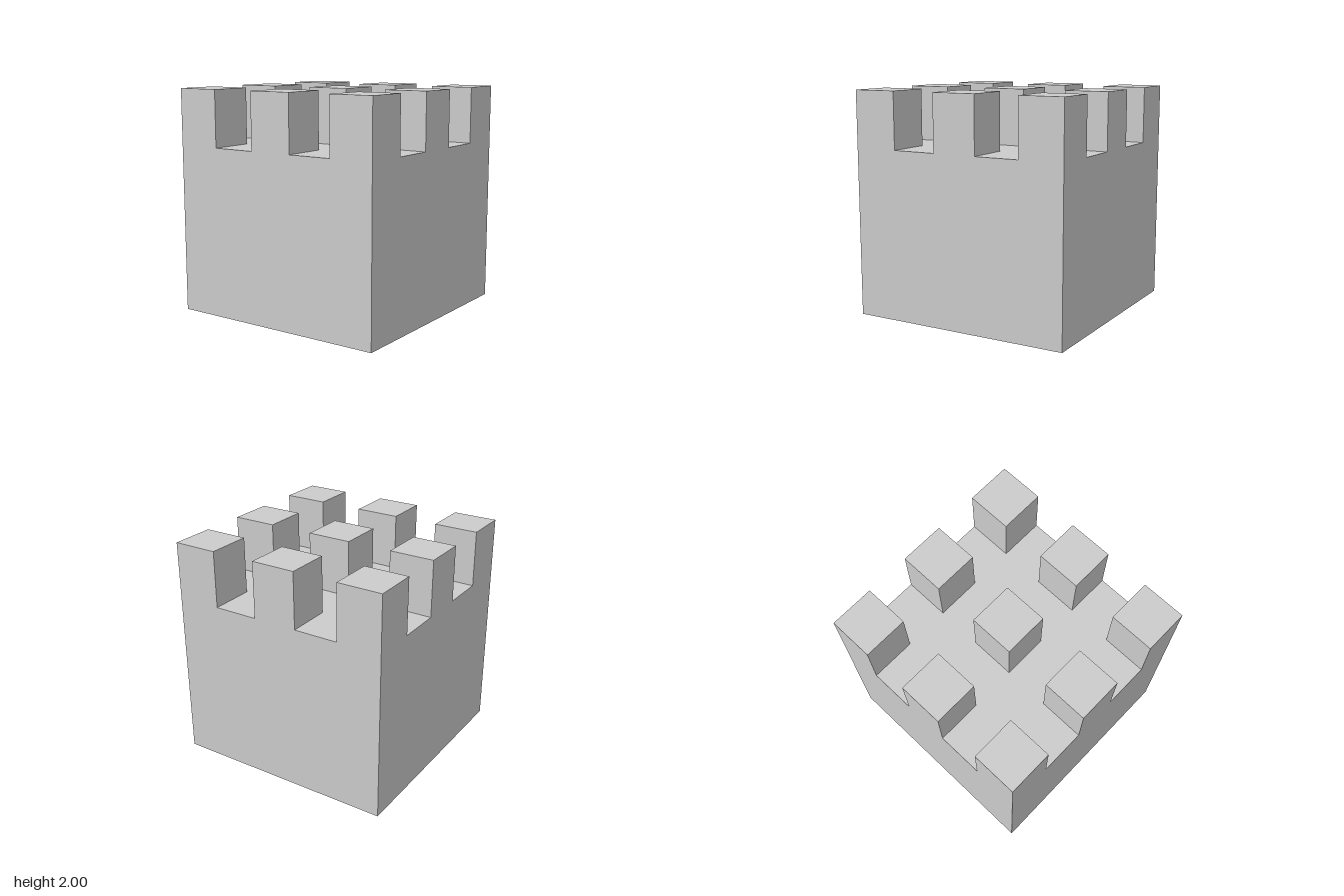
import * as THREE from 'three';

export function createModel() {
  const model = new THREE.Group();
  model.name = 'castleBlock';
  const material = new THREE.MeshStandardMaterial({ color: 0xcccccc, flatShading: true });

  const bodyHeight = 1.5;
  const postHeight = 0.5;
  const postWidth = 0.4;

  // Solid body
  const body = new THREE.Mesh(new THREE.BoxGeometry(2, bodyHeight, 2), material);
  body.name = 'body';
  body.position.y = bodyHeight / 2;
  model.add(body);

  // Three by three grid of square posts, outer ones flush with the walls
  const posts = new THREE.Group();
  posts.name = 'posts';
  const postGeometry = new THREE.BoxGeometry(postWidth, postHeight, postWidth);
  for (const x of [-0.8, 0, 0.8]) {
    for (const z of [-0.8, 0, 0.8]) {
      const post = new THREE.Mesh(postGeometry, material);
      post.name = 'post';
      post.position.set(x, bodyHeight + postHeight / 2, z);
      posts.add(post);
    }
  }
  model.add(posts);

  return model;
}
